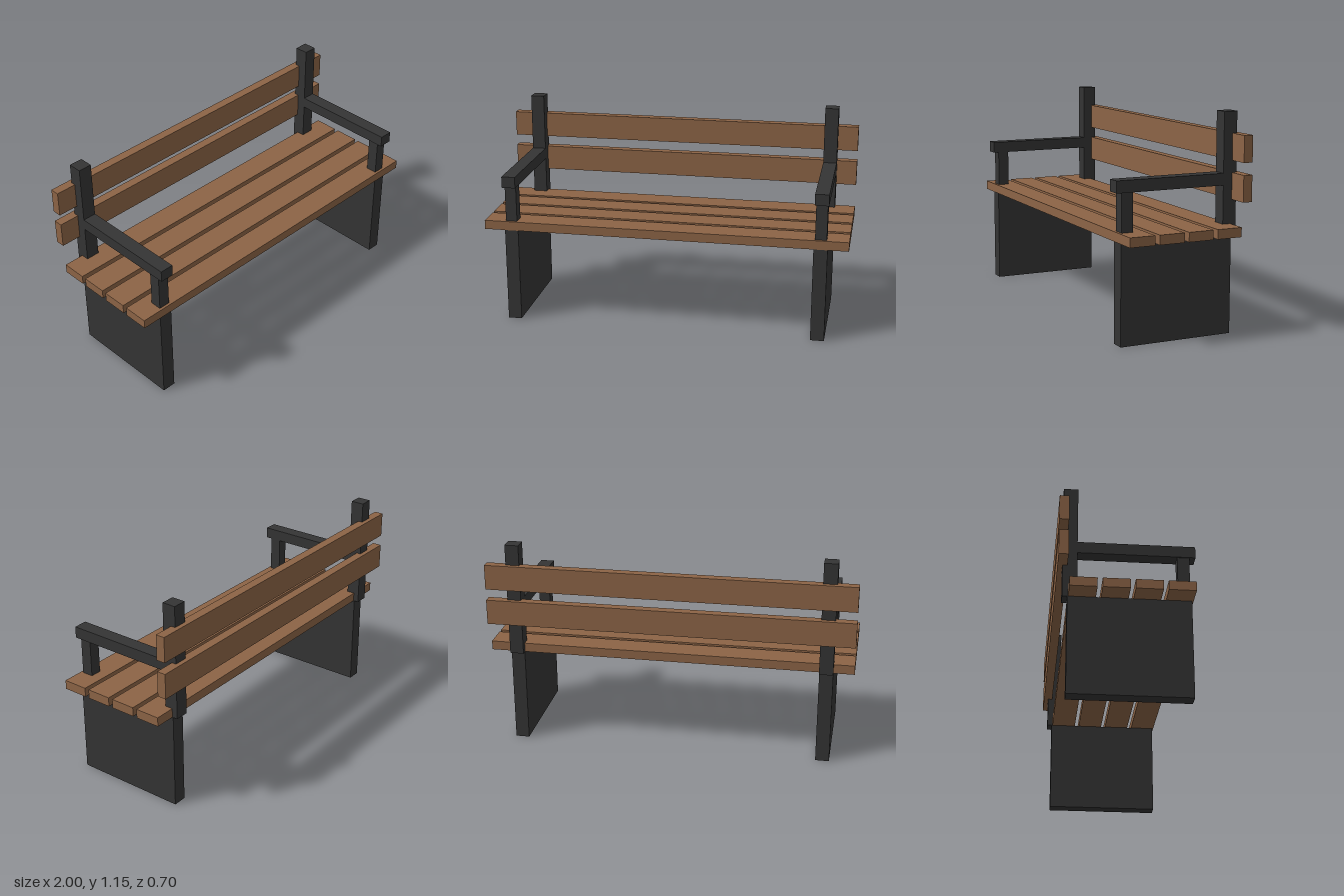
import * as THREE from 'three';

export function createModel() {
  const model = new THREE.Group();
  model.name = 'bench';

  const wood = new THREE.MeshStandardMaterial({ color: 0x8c6446 });
  wood.name = 'brown wood';
  const iron = new THREE.MeshStandardMaterial({ color: 0x343434 });
  iron.name = 'dark iron';

  // Box given by its centre x, width, and its y and z ranges
  function addBox(parent, name, material, x, width, [y0, y1], [z0, z1]) {
    const mesh = new THREE.Mesh(new THREE.BoxGeometry(width, y1 - y0, z1 - z0), material);
    mesh.position.set(x, (y0 + y1) / 2, (z0 + z1) / 2);
    mesh.name = name;
    parent.add(mesh);
  }

  // Seat slats, front to back
  const seat = new THREE.Group();
  seat.name = 'seat';
  for (let i = 0; i < 4; i++) {
    const z = 0.264 - i * 0.163;
    addBox(seat, 'seatSlat', wood, 0, 2, [0.526, 0.576], [z - 0.069, z + 0.069]);
  }
  model.add(seat);

  // Backrest slats, fixed behind the posts
  const backrest = new THREE.Group();
  backrest.name = 'backrest';
  for (const y of [0.701, 0.901]) {
    addBox(backrest, 'backSlat', wood, 0, 2, [y, y + 0.138], [-0.35, -0.3]);
  }
  model.add(backrest);

  // End frames: leg panel, back post, armrest and its support
  for (const side of [-1, 1]) {
    const frame = new THREE.Group();
    frame.name = side > 0 ? 'leftFrame' : 'rightFrame';
    const x = side * 0.85;
    addBox(frame, 'legPanel', iron, x, 0.075, [0, 0.526], [-0.299, 0.326]);
    addBox(frame, 'backPost', iron, x, 0.075, [0.526, 1.151], [-0.325, -0.25]);
    addBox(frame, 'armrest', iron, x, 0.075, [0.776, 0.838], [-0.25, 0.35]);
    addBox(frame, 'armSupport', iron, x, 0.0625, [0.576, 0.776], [0.257, 0.319]);
    model.add(frame);
  }

  return model;
}
